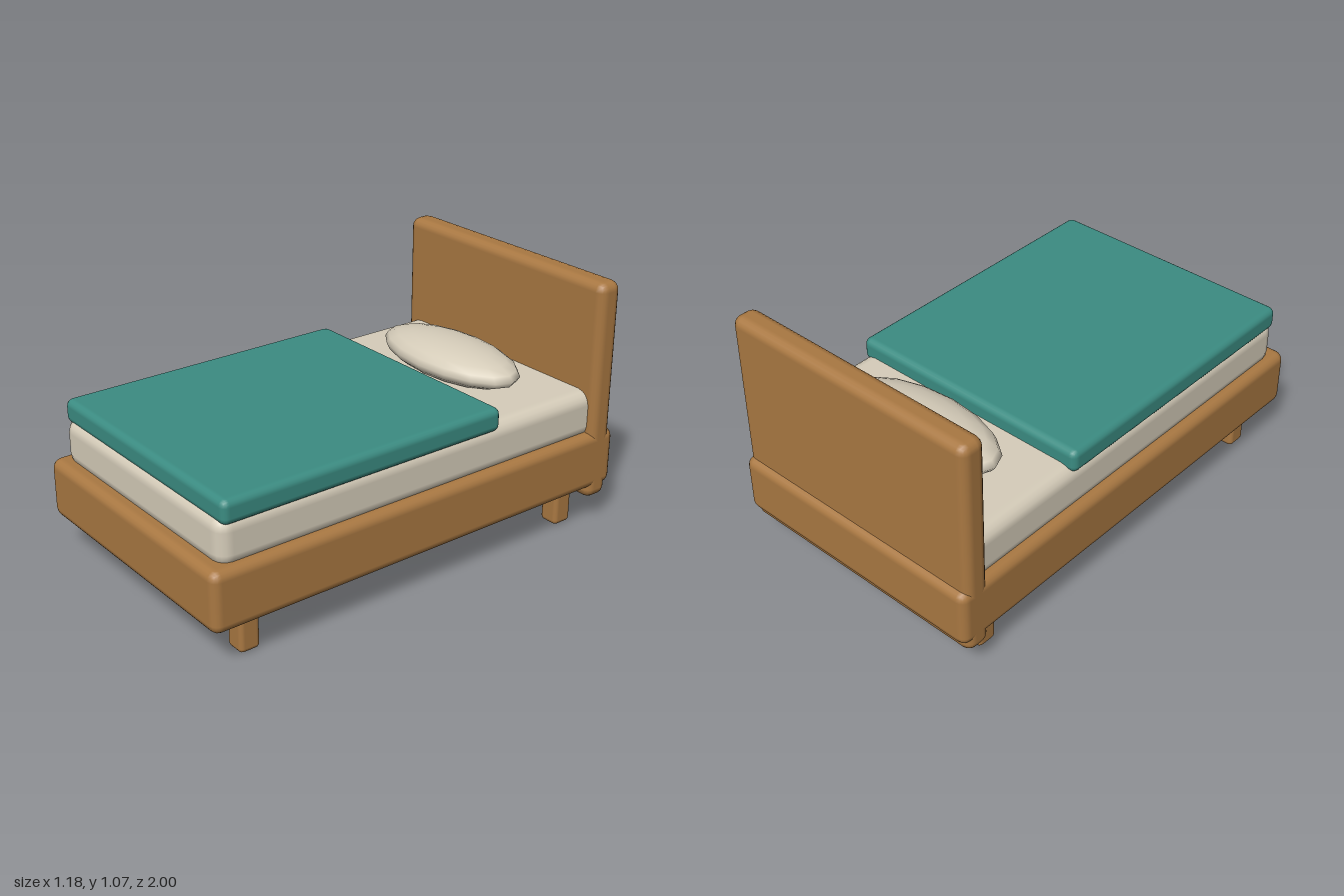
import * as THREE from 'three';
import { RoundedBoxGeometry } from 'three/addons/geometries/RoundedBoxGeometry.js';

const material = (name, color) => {
  const m = new THREE.MeshStandardMaterial({ color });
  m.name = name;
  return m;
};

export function createModel() {
  const bed = new THREE.Group();
  bed.name = 'bed';
  const wood = material('wood', 0xa97842);
  const linen = material('linen', 0xd6cdba);
  const teal = material('teal blanket', 0x3b8c82);

  // Soft-edged block given by its extents on each axis
  function block(name, mat, [x0, x1], [y0, y1], [z0, z1], radius) {
    const geometry = new RoundedBoxGeometry(x1 - x0, y1 - y0, z1 - z0, 2, radius);
    const mesh = new THREE.Mesh(geometry, mat);
    mesh.name = name;
    mesh.position.set((x0 + x1) / 2, (y0 + y1) / 2, (z0 + z1) / 2);
    bed.add(mesh);
  }

  // Wooden frame and headboard
  block('frame', wood, [-0.59, 0.59], [0.165, 0.42], [-1, 1], 0.04);
  block('headboard', wood, [-0.59, 0.59], [0.118, 1.07], [-0.975, -0.862], 0.04);

  // Four short legs
  for (const side of [-1, 1]) {
    for (const end of [-1, 1]) {
      const x = side * 0.471, z = end * 0.8;
      const name = (end > 0 ? 'front' : 'back') + (side > 0 ? 'Left' : 'Right') + 'Leg';
      block(name, wood, [x - 0.045, x + 0.045], [0, 0.21], [z - 0.045, z + 0.045], 0.02);
    }
  }

  // Mattress and blanket
  block('mattress', linen, [-0.555, 0.555], [0.39, 0.6], [-0.945, 0.945], 0.06);
  block('blanket', teal, [-0.561, 0.561], [0.568, 0.67], [-0.37, 0.93], 0.03);

  // Pillow: a flattened ellipsoid
  const pillow = new THREE.Mesh(new THREE.SphereGeometry(1, 16, 10), linen);
  pillow.name = 'pillow';
  pillow.scale.set(0.38, 0.08, 0.18);
  pillow.position.set(0, 0.652, -0.6);
  bed.add(pillow);

  return bed;
}
